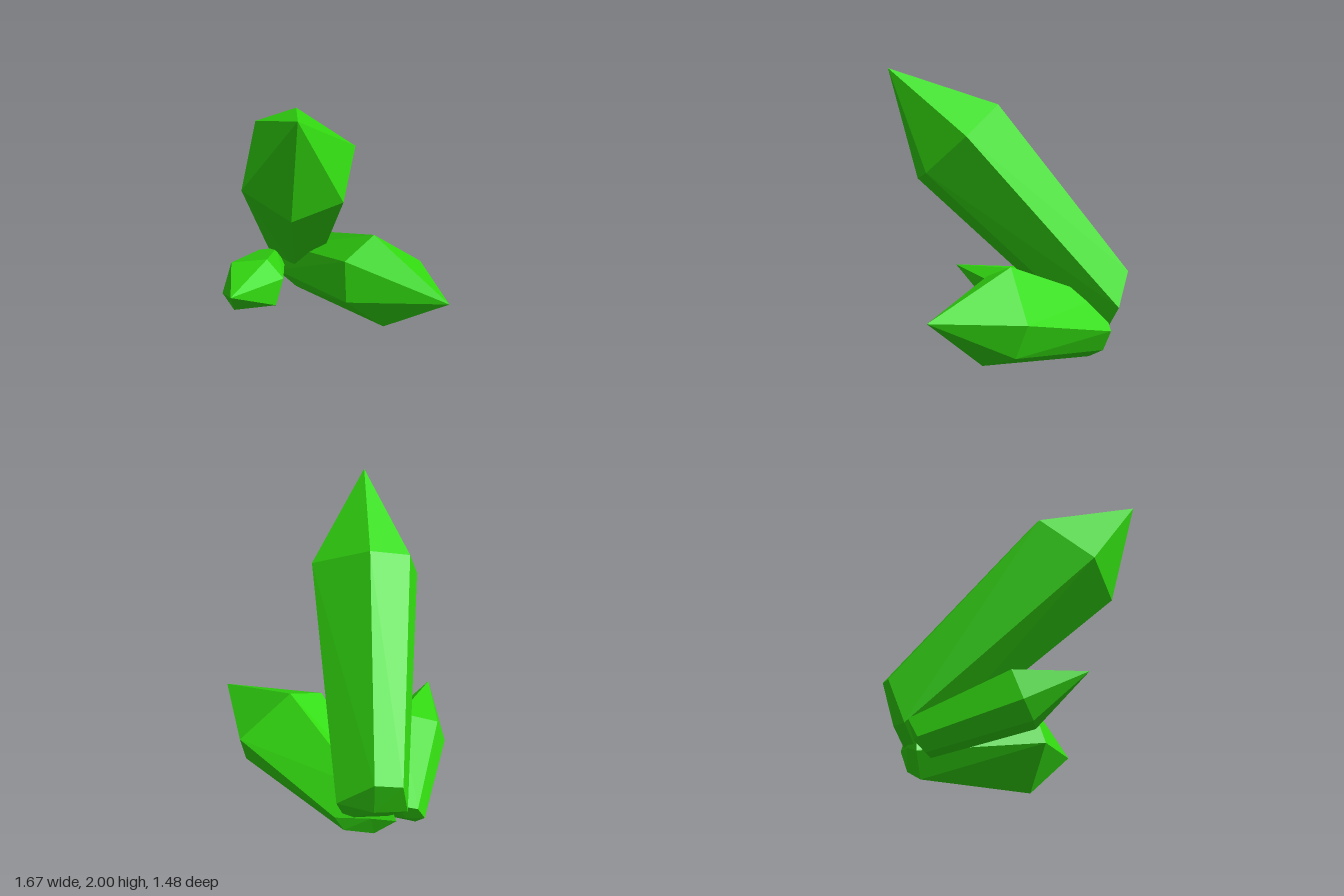
import * as THREE from 'three';

const green = new THREE.MeshStandardMaterial({ color: 0x33dd11 });
green.name = 'crystal green';

// Six-sided crystal: point, shoulder ring, narrower root ring, shallow root cap.
// Rings run counter-clockwise as seen from the point.
function crystal(name, tip, shoulder, root, capDepth) {
  const v = (p) => new THREE.Vector3(...p);
  const point = v(tip), top = shoulder.map(v), base = root.map(v);
  const centre = base.reduce((s, p) => s.add(p), new THREE.Vector3()).divideScalar(base.length);
  const inward = centre.clone().sub(point).normalize();
  const cap = centre.clone().addScaledVector(inward, capDepth);

  const corners = [];
  for (let i = 0; i < top.length; i++) {
    const j = (i + 1) % top.length;
    corners.push(point, top[i], top[j]); // pointed end
    corners.push(top[i], base[i], base[j], top[i], base[j], top[j]); // long side
    corners.push(cap, base[j], base[i]); // root
  }
  const geometry = new THREE.BufferGeometry().setFromPoints(corners);
  geometry.computeVertexNormals(); // unshared corners give flat facets
  const mesh = new THREE.Mesh(geometry, green);
  mesh.name = name;
  return mesh;
}

export function createModel() {
  const model = new THREE.Group();
  model.name = 'crystalCluster';

  // Tall crystal leaning forward
  model.add(crystal('tallCrystal', [0.13, 2.0, 0.74],
    [[-0.42, 1.7, 0.26], [-0.34, 1.39, 0.6], [0, 1.25, 0.6],
      [0.24, 1.33, 0.37], [0.19, 1.58, 0.09], [-0.22, 1.76, 0.09]],
    [[-0.78, 0.57, -0.58], [-0.77, 0.28, -0.46], [-0.55, 0.14, -0.47],
      [-0.41, 0.2, -0.62], [-0.4, 0.42, -0.74], [-0.64, 0.62, -0.7]], 0.05));

  // Middle crystal lying toward the left side
  model.add(crystal('sideCrystal', [0.83, 0.51, -0.02],
    [[0.19, 0.76, -0.24], [0.08, 0.65, 0], [0.13, 0.38, 0.08],
      [0.33, 0.12, -0.11], [0.45, 0.25, -0.42], [0.44, 0.47, -0.5]],
    [[-0.5, 0.45, -0.56], [-0.62, 0.34, -0.46], [-0.68, 0.13, -0.42],
      [-0.54, 0, -0.46], [-0.4, 0.11, -0.63], [-0.37, 0.26, -0.7]], 0.04));

  // Small crystal pointing forward
  model.add(crystal('smallCrystal', [-0.47, 0.555, 0.59],
    [[-0.46, 0.585, 0.11], [-0.7, 0.54, 0.19], [-0.73, 0.33, 0.28],
      [-0.63, 0.23, 0.3], [-0.35, 0.29, 0.2], [-0.33, 0.47, 0.12]],
    [[-0.7, 0.3, -0.46], [-0.82, 0.28, -0.41], [-0.84, 0.15, -0.33],
      [-0.77, 0.075, -0.31], [-0.63, 0.09, -0.35], [-0.62, 0.2, -0.43]], 0.03));

  return model;
}
